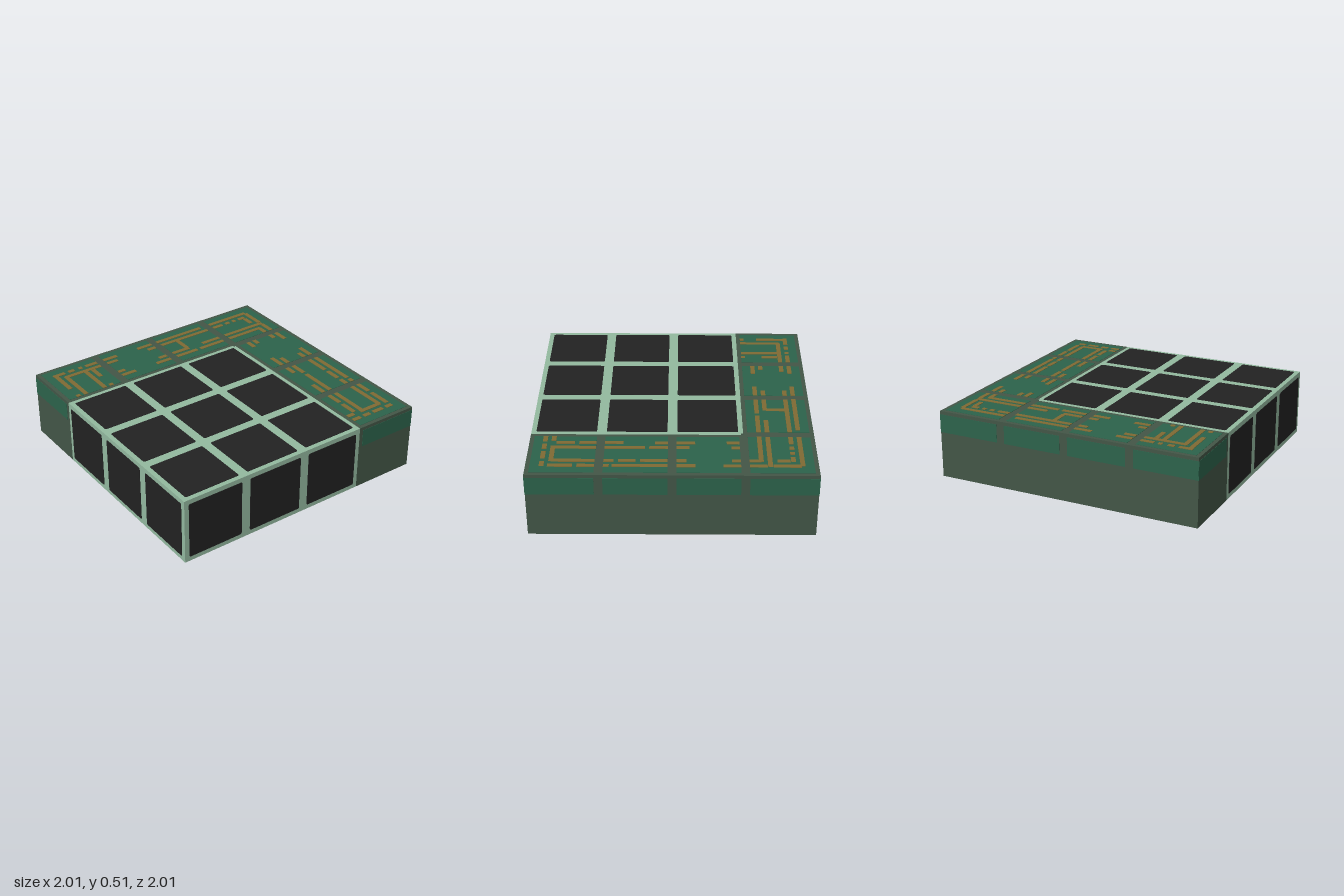
import * as THREE from 'three';

const mat = (name, color) => {
  const m = new THREE.MeshStandardMaterial({ color });
  m.name = name;
  return m;
};

export function createModel() {
  const model = new THREE.Group();
  model.name = 'circuitSlab';
  const casing = mat('dark casing', 0x435647);
  const board = mat('board green', 0x2c634b);
  const copper = mat('copper', 0x806a33);
  const frame = mat('pale frame', 0x93b99f);
  const black = mat('panel black', 0x222222);

  // Box given by its limits on each axis
  const box = (name, material, x0, x1, y0, y1, z0, z1, parent = model) => {
    const mesh = new THREE.Mesh(new THREE.BoxGeometry(x1 - x0, y1 - y0, z1 - z0), material);
    mesh.position.set((x0 + x1) / 2, (y0 + y1) / 2, (z0 + z1) / 2);
    mesh.name = name;
    parent.add(mesh);
    return mesh;
  };
  const group = (name) => {
    const g = new THREE.Group();
    g.name = name;
    model.add(g);
    return g;
  };

  // Solid bodies: L-shaped casing around the square frame
  box('casingBack', casing, -1, 1, 0, 0.5, -1, -0.5);
  box('casingSide', casing, 0.5, 1, 0, 0.5, -0.5, 1);
  box('panelFrame', frame, -1, 0.5, 0, 0.5, -0.5, 1);
  box('frameCornerNotch', casing, 0.485, 0.5, 0.499, 0.502, -0.5, -0.485);

  // Black panels with softened corners
  const h = 0.215, r = 0.012;
  const outline = new THREE.Shape();
  outline.moveTo(-h + r, -h);
  outline.lineTo(h - r, -h).quadraticCurveTo(h, -h, h, -h + r);
  outline.lineTo(h, h - r).quadraticCurveTo(h, h, h - r, h);
  outline.lineTo(-h + r, h).quadraticCurveTo(-h, h, -h, h - r);
  outline.lineTo(-h, -h + r).quadraticCurveTo(-h, -h, -h + r, -h);
  const panelGeo = new THREE.ExtrudeGeometry(outline, { depth: 0.003, bevelEnabled: false, curveSegments: 3 });
  const panels = group('panels');
  const panel = (name, x, y, z, rx, ry) => {
    const mesh = new THREE.Mesh(panelGeo, black);
    mesh.position.set(x, y, z);
    mesh.rotation.set(rx, ry, 0);
    mesh.name = name;
    panels.add(mesh);
  };
  for (let i = 0; i < 3; i++) {
    const x = -0.75 + i * 0.5;
    panel('frontPanel', x, 0.25, 1, 0, 0);
    panel('sidePanel', -1, 0.25, -0.25 + i * 0.5, 0, -Math.PI / 2);
    for (let j = 0; j < 3; j++) {
      const z = -0.25 + j * 0.5;
      panel('topPanel', x, 0.5, z, -Math.PI / 2, 0);
      panel('bottomPanel', x, 0, z, Math.PI / 2, 0);
    }
  }

  // Green board on top, one tile per half-unit cell
  const boards = group('boards');
  const cells = [];
  for (let i = 0; i < 4; i++) cells.push([-0.75 + i * 0.5, -0.75]);
  for (let j = 1; j < 4; j++) cells.push([0.75, -0.75 + j * 0.5]);
  const e = 0.22;
  for (const [x, z] of cells) {
    box('boardTile', board, x - e, x + e, 0.499, 0.502, z - e, z + e, boards);
  }

  // Green strips along the upper sides, running out to the corners
  const strips = group('boardEdges');
  for (let i = 0; i < 4; i++) {
    const a = i === 0 ? -1 : -1 + i * 0.5 + 0.03;
    const b = i === 3 ? 1 : -0.5 + i * 0.5 - 0.03;
    box('backEdge', board, a, b, 0.34, 0.475, -1.002, -0.999, strips);
    box('sideEdge', board, 0.999, 1.002, 0.34, 0.475, a, b, strips);
  }
  box('frontEdge', board, 0.53, 1, 0.34, 0.475, 0.999, 1.002, strips);
  box('backLeftEdge', board, -1.002, -0.999, 0.34, 0.475, -1, -0.53, strips);

  // Copper traces: each line has a fixed coordinate and [start, end] runs
  const traces = group('copperTraces');
  const w = 0.0165;
  const alongX = [
    [-0.89, [[-0.91, -0.81], [-0.78, -0.73], [-0.69, -0.66], [-0.63, -0.53], [-0.47, -0.35],
      [-0.16, -0.03], [0.02, 0.44], [0.53, 0.89]]],
    [-0.83, [[-0.84, -0.53], [-0.47, -0.38], [-0.1, -0.03], [0.03, 0.47], [0.53, 0.62],
      [0.65, 0.69], [0.72, 0.75], [0.78, 0.84]]],
    [-0.67, [[-0.47, -0.41], [-0.1, -0.03], [0.03, 0.18], [0.31, 0.47], [0.53, 0.9]]],
    [-0.61, [[-0.47, -0.35], [-0.16, -0.03], [0.03, 0.22], [0.25, 0.47], [0.53, 0.84]]],
    [0.83, [[0.53, 0.59], [0.65, 0.84]]],
    [0.89, [[0.53, 0.6], [0.63, 0.69], [0.72, 0.81], [0.84, 0.9]]],
  ];
  const alongZ = [
    [-0.89, [[-0.9, -0.66], [-0.56, -0.53]]],
    [-0.83, [[-0.84, -0.53]]],
    [-0.67, [[-0.84, -0.53]]],
    [-0.61, [[-0.81, -0.69], [-0.56, -0.53]]],
    [0.17, [[-0.83, -0.68]]],
    [0.61, [[-0.47, -0.38], [-0.16, -0.03], [0.03, 0.12], [0.34, 0.47], [0.53, 0.65], [0.68, 0.81]]],
    [0.67, [[-0.47, -0.41], [-0.12, -0.03], [0.03, 0.16], [0.19, 0.47], [0.53, 0.83]]],
    [0.83, [[-0.81, -0.72], [-0.61, -0.53], [-0.47, -0.41], [-0.1, -0.03], [0.03, 0.22],
      [0.25, 0.37], [0.4, 0.47], [0.53, 0.83]]],
    [0.89, [[-0.88, -0.69], [-0.65, -0.53], [-0.47, -0.35], [-0.16, -0.03], [0.03, 0.41],
      [0.43, 0.47], [0.53, 0.65], [0.68, 0.85]]],
  ];
  for (const [z, runs] of alongX) {
    for (const [a, b] of runs) box('traceAcross', copper, a, b, 0.5, 0.505, z - w, z + w, traces);
  }
  for (const [x, runs] of alongZ) {
    for (const [a, b] of runs) box('traceLengthwise', copper, x - w, x + w, 0.5, 0.505, a, b, traces);
  }
  return model;
}
